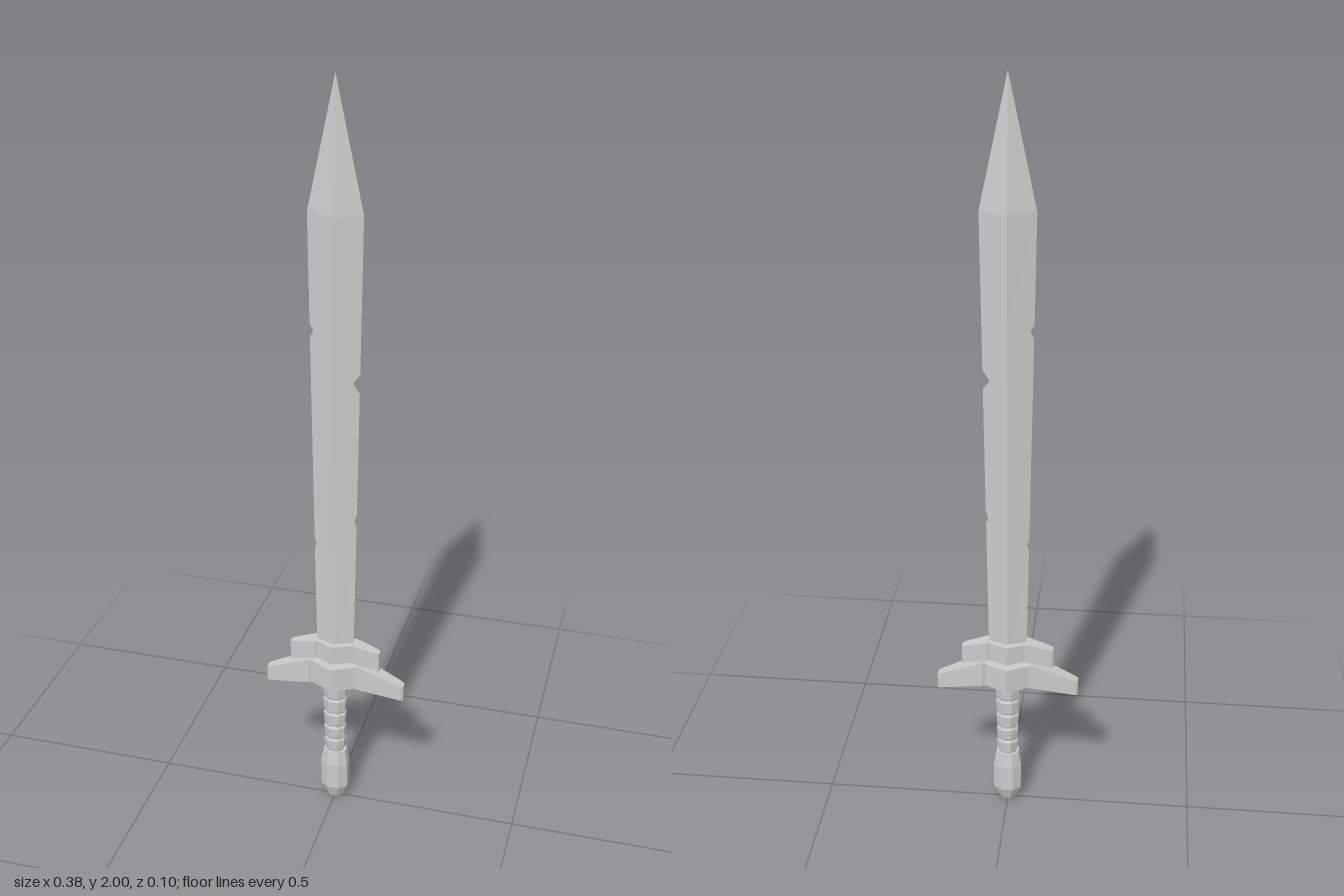
import * as THREE from 'three';

const material = new THREE.MeshStandardMaterial({ color: 0xcccccc, flatShading: true });

// Skin a list of rings (each counter-clockwise seen from the far end) and cap both ends
function loft(name, rings) {
  const n = rings[0].length, index = [];
  for (let k = 0; k < rings.length - 1; k++) {
    for (let i = 0; i < n; i++) {
      const a = k * n + i, b = k * n + (i + 1) % n;
      index.push(a, b, b + n, a, b + n, a + n);
    }
  }
  const last = (rings.length - 1) * n;
  for (let i = 1; i < n - 1; i++) {
    index.push(0, i + 1, i, last, last + i, last + i + 1);
  }
  const indexed = new THREE.BufferGeometry();
  indexed.setAttribute('position', new THREE.Float32BufferAttribute(rings.flat(2), 3));
  indexed.setIndex(index);
  const geometry = indexed.toNonIndexed();
  geometry.computeVertexNormals();
  const mesh = new THREE.Mesh(geometry, material);
  mesh.name = name;
  return mesh;
}

// Diamond-section blade; nicks cut straight into the edges
function createBlade() {
  const base = 0.42, shoulder = 1.68;
  // [side, lower y, deepest y, upper y, depth]
  const nicks = [
    [1, 1.235, 1.258, 1.285, 0.02],
    [1, 0.865, 0.88, 0.9, 0.006],
    [-1, 1.37, 1.39, 1.405, 0.01],
    [-1, 0.79, 0.805, 0.82, 0.006],
  ];
  const levels = [base, shoulder, ...nicks.flatMap(n => n.slice(1, 4))].sort((a, b) => a - b);
  const rings = levels.map(y => {
    const f = (y - base) / (shoulder - base);
    const w = 0.049 + 0.019 * f, t = 0.019 + 0.011 * f;
    const edge = side => {
      const nick = nicks.find(n => n[0] === side && n[2] === y);
      const x = w - (nick ? nick[4] : 0);
      return [x, t * (1 - x / w)];
    };
    const [r, zr] = edge(1), [l, zl] = edge(-1);
    return [[r, y, zr], [r, y, -zr], [0, y, -t], [-l, y, -zl], [-l, y, zl], [0, y, t]];
  });
  rings.push(rings[0].map(() => [0, 2, 0]));
  return loft('blade', rings);
}

// Guard from half sections [x, half depth, bottom y, top y], mirrored across x
function createGuard(name, half) {
  const mirrored = half.slice(1).reverse().map(([x, ...rest]) => [-x, ...rest]);
  return loft(name, [...mirrored, ...half].map(([x, z, y0, y1]) =>
    [[x, y0, -z], [x, y1, -z], [x, y1, z], [x, y0, z]]));
}

// Octagonal turned part, slightly flattened front to back
function createTurned(name, profile) {
  const geometry = new THREE.LatheGeometry(profile.map(p => new THREE.Vector2(...p)), 8, Math.PI / 8);
  geometry.scale(1.06, 1, 0.86);
  const mesh = new THREE.Mesh(geometry, material);
  mesh.name = name;
  return mesh;
}

export function createModel() {
  const sword = new THREE.Group();
  sword.name = 'sword';
  sword.add(createBlade());

  sword.add(createGuard('lowerGuard', [
    [0, 0.05, 0.382, 0.45],
    [0.058, 0.021, 0.382, 0.45],
    [0.068, 0.026, 0.383, 0.455],
    [0.183, 0.013, 0.361, 0.405],
    [0.189, 0.009, 0.359, 0.402],
  ]));
  sword.add(createGuard('upperGuard', [
    [0, 0.037, 0.46, 0.513],
    [0.046, 0.016, 0.46, 0.513],
    [0.054, 0.02, 0.461, 0.515],
    [0.117, 0.011, 0.443, 0.497],
    [0.122, 0.008, 0.441, 0.495],
  ]));

  // Pommel
  sword.add(createTurned('pommel', [
    [0, 0], [0.018, 0], [0.023, 0.008], [0.038, 0.042],
    [0.038, 0.118], [0.031, 0.16], [0, 0.16],
  ]));

  // Grip wrapped in stacked bands, each flaring upward
  const grip = new THREE.Group();
  grip.name = 'grip';
  const bands = [0.16, 0.202, 0.244, 0.288, 0.334];
  bands.forEach((y, i) => {
    const top = i < bands.length - 1 ? bands[i + 1] : 0.385;
    const r = 0.026 + 0.001 * i;
    grip.add(createTurned('gripBand', [
      [0, y], [r - 0.002, y], [r, y + 0.006], [r + 0.003, top - 0.006], [r, top], [0, top],
    ]));
  });
  sword.add(grip);

  return sword;
}
